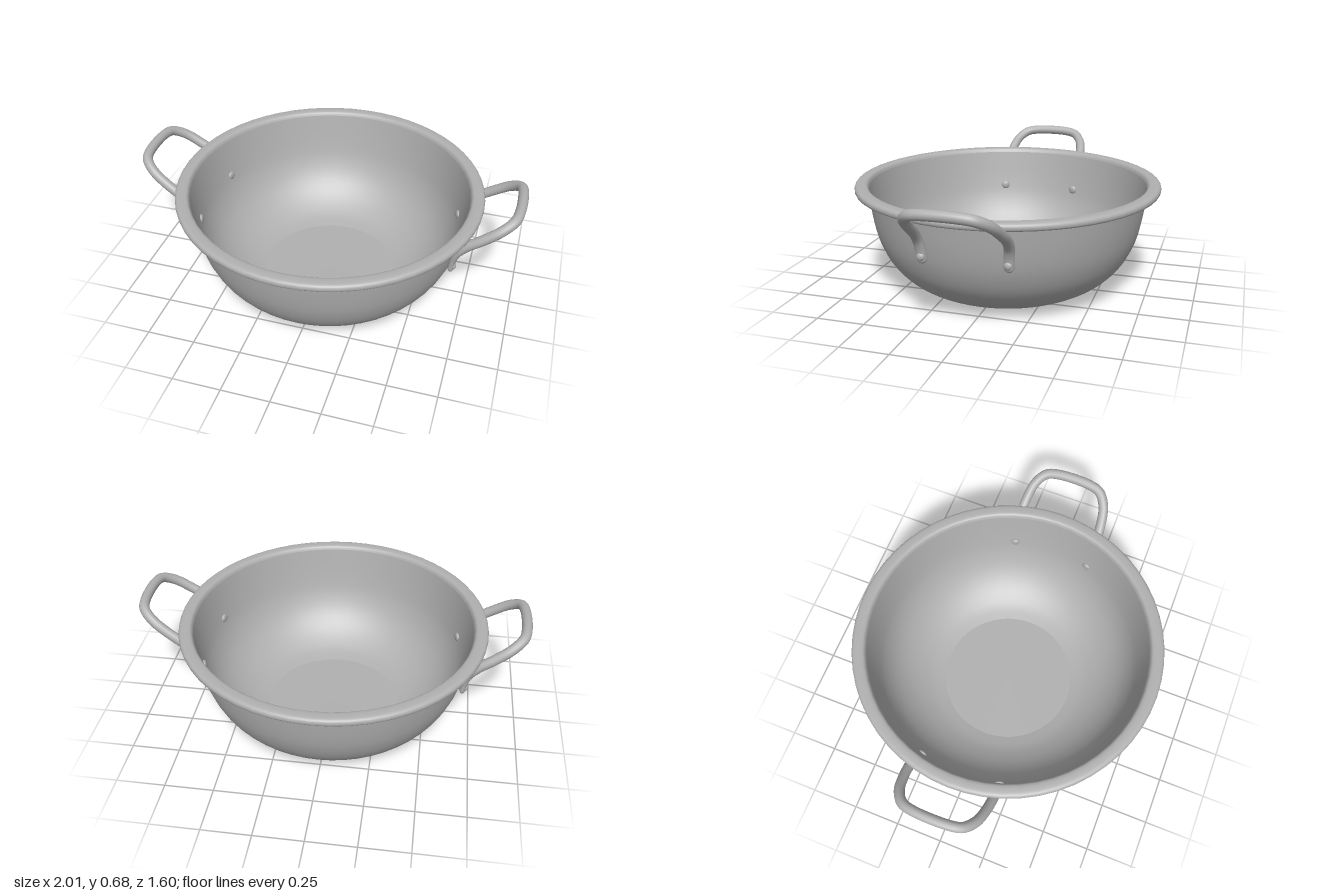
import * as THREE from 'three';

const v2 = (pts) => pts.map(([x, y]) => new THREE.Vector2(x, y));
const smooth = (pts, n) => new THREE.SplineCurve(v2(pts)).getPoints(n);

export function createModel() {
  const steel = new THREE.MeshStandardMaterial({ color: 0xb0b0b0 });
  const model = new THREE.Group();

  const add = (parent, name, geometry) => {
    const mesh = new THREE.Mesh(geometry, steel);
    mesh.name = name;
    parent.add(mesh);
    return mesh;
  };
  const lathe = (name, pts) => add(model, name, new THREE.LatheGeometry(pts, 56));

  // Pan body: flat base, curved outer wall, inner wall running down to the floor
  lathe('base', v2([[0, 0], [0.35, 0]]));
  lathe('outerWall', smooth([
    [0.35, 0], [0.45, 0.028], [0.55, 0.088], [0.63, 0.175], [0.682, 0.28],
    [0.712, 0.4], [0.735, 0.565]], 28));
  lathe('innerWall', smooth([
    [0.727, 0.56], [0.698, 0.4], [0.668, 0.285], [0.617, 0.185], [0.54, 0.102],
    [0.445, 0.043], [0.36, 0.017]], 28));
  lathe('floor', v2([[0.36, 0.017], [0, 0.015]]));

  // Rolled rim with a shallow hollow on its underside
  lathe('rimUnderside', v2([[0.734, 0.563], [0.772, 0.563], [0.776, 0.545]]));
  lathe('rim', smooth([
    [0.776, 0.545], [0.787, 0.541], [0.797, 0.547], [0.8, 0.56], [0.796, 0.572],
    [0.785, 0.579], [0.765, 0.581], [0.745, 0.58], [0.734, 0.574], [0.727, 0.56]], 28));

  // Bent rod handles, with ends pressed flat against the wall
  const half = [
    [0.688, 0.35, 0.212], [0.696, 0.4, 0.215], [0.713, 0.452, 0.221],
    [0.75, 0.497, 0.222], [0.83, 0.554, 0.216], [0.905, 0.607, 0.197],
    [0.957, 0.643, 0.153], [0.973, 0.655, 0.09]];
  const points = [...half, ...half.slice().reverse().map(([x, y, z]) => [x, y, -z])]
    .map((p) => new THREE.Vector3(...p));
  const path = new THREE.CatmullRomCurve3(points);
  const steps = 80, sides = 14, radius = 0.026, flat = 0.6;
  const rod = new THREE.TubeGeometry(path, steps, radius, sides);
  const pos = rod.attributes.position;
  for (let i = 0; i <= steps; i++) {
    const t = Math.min(i, steps - i) / steps;
    const squeeze = THREE.MathUtils.lerp(flat, 1, THREE.MathUtils.smoothstep(t, 0.03, 0.14));
    const centre = path.getPointAt(i / steps);
    for (let j = 0; j <= sides; j++) {
      const k = i * (sides + 1) + j;
      pos.setX(k, centre.x + (pos.getX(k) - centre.x) * squeeze);
    }
  }
  rod.computeVertexNormals();
  // Match the normals on the tube's seam
  const nor = rod.attributes.normal;
  for (let i = 0; i <= steps; i++) {
    const a = i * (sides + 1), b = a + sides;
    const n = new THREE.Vector3().fromBufferAttribute(nor, a)
      .add(new THREE.Vector3().fromBufferAttribute(nor, b)).normalize();
    nor.setXYZ(a, n.x, n.y, n.z);
    nor.setXYZ(b, n.x, n.y, n.z);
  }

  const ball = new THREE.SphereGeometry(1, 18, 12);
  for (const [name, turn] of [['leftHandle', 0], ['rightHandle', Math.PI]]) {
    const handle = new THREE.Group();
    handle.name = name;
    handle.rotation.y = turn;
    add(handle, 'rod', rod);
    for (const s of [1, -1]) {
      // Rounded rod end, outer rivet head, inner rivet head
      const end = add(handle, 'rodEnd', ball);
      end.position.set(0.688, 0.35, 0.212 * s);
      end.scale.set(radius * flat, radius, radius);
      const outer = add(handle, 'outerRivet', ball);
      outer.position.set(0.702, 0.361, 0.212 * s);
      outer.scale.set(0.012, 0.02, 0.02);
      const inner = add(handle, 'innerRivet', ball);
      inner.position.set(0.655, 0.361, 0.212 * s);
      inner.scale.set(0.012, 0.024, 0.024);
      inner.rotation.y = -0.31 * s;
    }
    model.add(handle);
  }
  return model;
}
